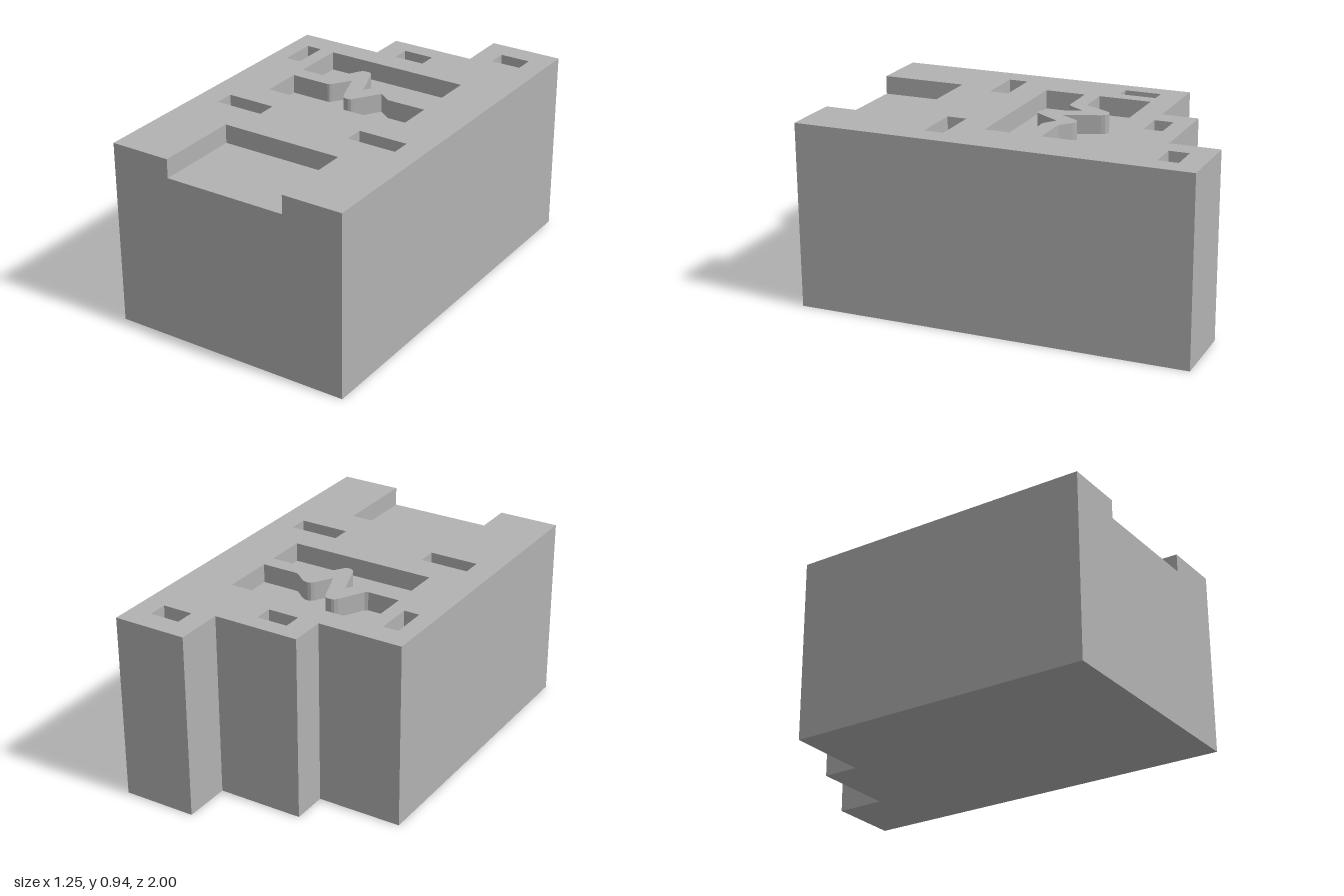
import * as THREE from 'three';

const HEIGHT = 0.94, FLOOR = 0.845;

// Plan points are [x, z]; shapes are drawn with z flipped, then laid flat.
const toPoints = (plan) => plan.map(([x, z]) => new THREE.Vector2(x, -z));
const rect = (x0, x1, z0, z1) => [[x0, z0], [x1, z0], [x1, z1], [x0, z1]];

function slab(name, plan, holes, y0, y1, material) {
  const shape = new THREE.Shape(toPoints(plan));
  for (const hole of holes) shape.holes.push(new THREE.Path(toPoints(hole)));
  const geometry = new THREE.ExtrudeGeometry(shape, { depth: y1 - y0, bevelEnabled: false });
  geometry.rotateX(-Math.PI / 2).translate(0, y0, 0);
  const mesh = new THREE.Mesh(geometry, material);
  mesh.name = name;
  return mesh;
}

export function createModel() {
  const grey = new THREE.MeshStandardMaterial({ color: 0xb2b2b2 });
  grey.name = 'grey';

  // Stepped rear edge, from right (+x) to left (-x)
  const rear = [[0.625, 1], [0.625, -1], [0.25, -1], [0.25, -0.75], [-0.19, -0.75],
    [-0.19, -0.565], [-0.625, -0.565], [-0.625, 1]];
  // Front notch
  const notch = [[-0.315, 1], [-0.315, 0.56], [0.315, 0.56], [0.315, 1]];

  // Two pockets leaving a zigzag wall between them
  const rearPocket = [[-0.38, -0.44], [0.375, -0.44], [0.375, -0.17], [0.19, -0.17], [0.175, -0.175],
    [0.12, -0.22], [0.105, -0.228], [0.085, -0.23], [0.07, -0.226], [0.058, -0.213], [0.007, -0.125],
    [-0.06, -0.3], [-0.07, -0.317], [-0.085, -0.325], [-0.105, -0.325], [-0.12, -0.32], [-0.132, -0.307],
    [-0.2, -0.18], [-0.215, -0.17], [-0.38, -0.17]];
  const frontPocket = [[-0.38, -0.09], [-0.18, -0.09], [-0.168, -0.093], [-0.16, -0.102], [-0.1, -0.19],
    [-0.038, -0.02], [-0.028, -0.003], [-0.013, 0.006], [0.005, 0.006], [0.018, 0], [0.028, -0.013],
    [0.107, -0.135], [0.172, -0.09], [0.375, -0.09], [0.375, 0.12], [-0.38, 0.12]];

  // Small rectangular sockets
  const sockets = [
    rect(0.36, 0.515, -0.885, -0.785),
    rect(-0.08, 0.08, -0.66, -0.565),
    rect(-0.535, -0.455, -0.44, -0.25),
    rect(-0.5, -0.25, 0.275, 0.375),
    rect(0.245, 0.5, 0.275, 0.375),
  ];

  const group = new THREE.Group();
  group.name = 'steppedBlock';
  group.add(slab('body', rear, [], 0, FLOOR, grey));
  group.add(slab('topPlate', [...rear, ...notch], [rearPocket, frontPocket, ...sockets], FLOOR, HEIGHT, grey));
  return group;
}
